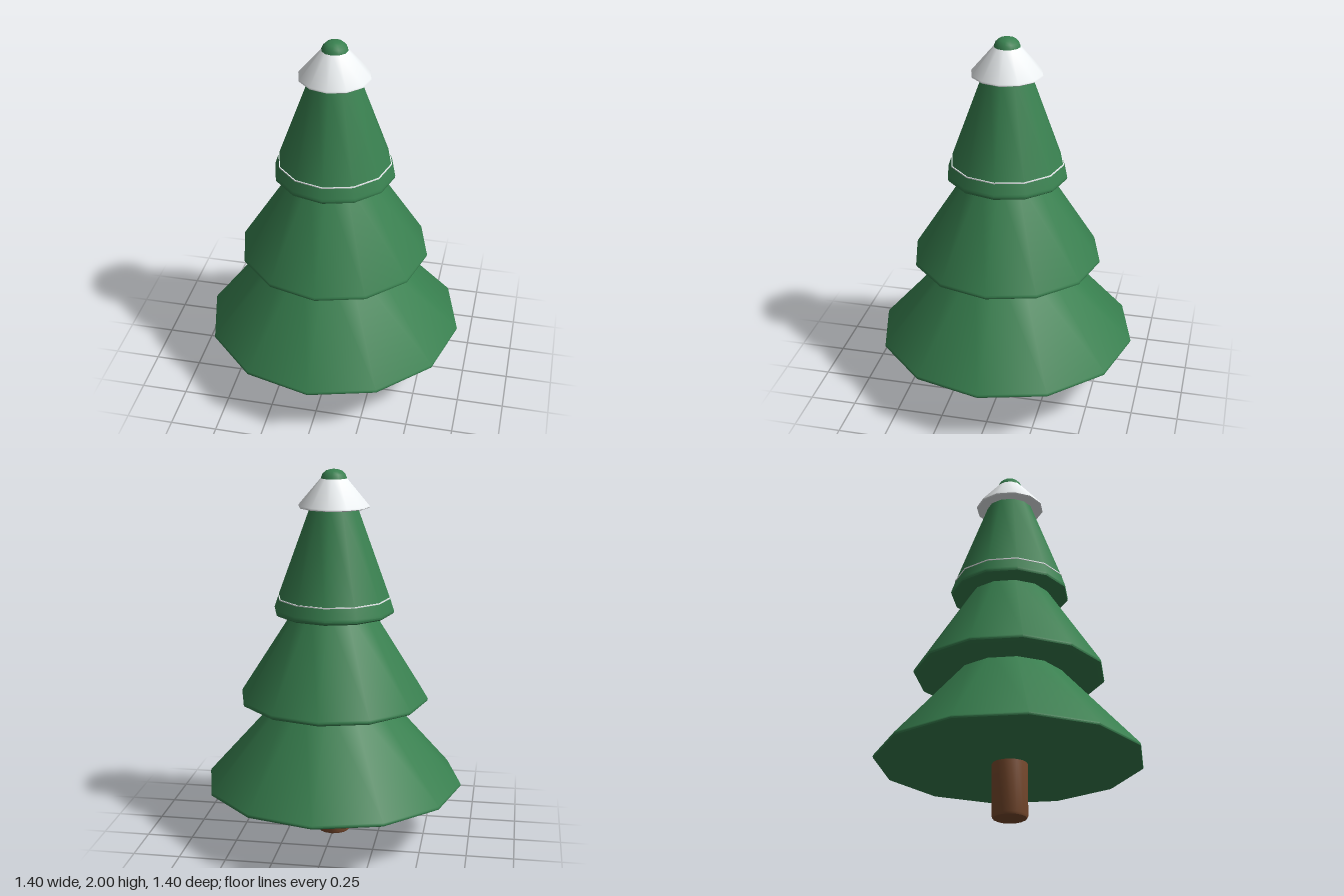
import * as THREE from 'three';
import { toCreasedNormals } from 'three/addons/utils/BufferGeometryUtils.js';

const material = (color) => new THREE.MeshStandardMaterial({ color });

// Turned solid from [radius, height] pairs, listed from the bottom up
function turned(name, profile, mat, sides = 12) {
  const points = profile.map(([r, y]) => new THREE.Vector2(r, y));
  const geometry = toCreasedNormals(new THREE.LatheGeometry(points, sides), 0.68);
  const mesh = new THREE.Mesh(geometry, mat);
  mesh.name = name;
  return mesh;
}

// Flat underside with a small softened rim
const rim = (r, y, h) => [
  [0, y], [r - 0.012, y], [r - 0.002, y + h * 0.25], [r, y + h * 0.6], [r - 0.004, y + h],
];

export function createModel() {
  const tree = new THREE.Group();
  tree.name = 'snowyTree';
  const green = material(0x38804f);
  const brown = material(0x7a4b2e);
  const white = material(0xf0f4f6);

  // Trunk, softened at the foot
  tree.add(turned('trunk', [
    [0, 0], [0.078, 0], [0.088, 0.005], [0.093, 0.017], [0.093, 0.32], [0, 0.32],
  ], brown, 16));

  // Lower two tiers of branches, each running up into the next
  tree.add(turned('bottomTier', [...rim(0.7, 0.29, 0.022), [0.25, 0.815], [0, 0.815]], green));
  tree.add(turned('middleTier', [...rim(0.51, 0.768, 0.025), [0.19, 1.29], [0, 1.29]], green));

  // Top tier, ending in the rounded tip
  tree.add(turned('topTier', [
    ...rim(0.322, 1.243, 0.03),
    [0.299, 1.33], [0.127, 1.8], [0.068, 1.955], [0.06, 1.975], [0.043, 1.991], [0.022, 1.998], [0, 2],
  ], green));

  // Thin snow line round the top tier
  tree.add(turned('snowLine', [
    [0.28, 1.327], [0.303, 1.327], [0.303, 1.333], [0.28, 1.333],
  ], white));

  // Snow cap just below the tip
  tree.add(turned('snowCap', [
    [0, 1.803], [0.183, 1.803], [0.188, 1.807], [0.186, 1.815], [0.067, 1.955], [0, 1.955],
  ], white));

  return tree;
}
